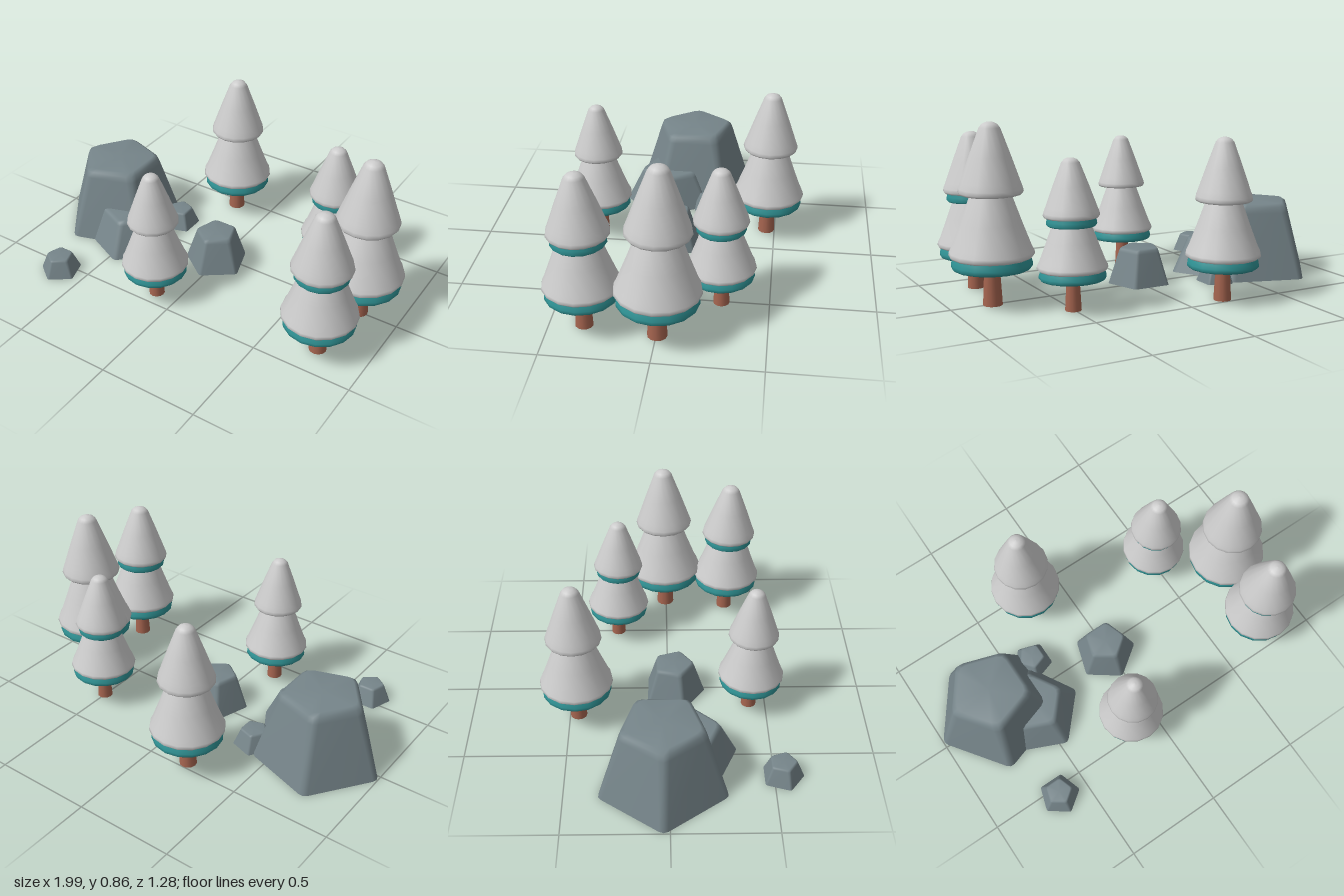
import * as THREE from 'three';

const mat = (color, side = THREE.FrontSide) => new THREE.MeshStandardMaterial({ color, side });
const foliageMat = mat(0xcccccc);
const trimMat = mat(0x2f9294);
const barkMat = mat(0xa5644f);
const rockMat = mat(0x76858a, THREE.DoubleSide);

const lathe = (points, sides = 16) =>
  new THREE.LatheGeometry(points.map(([r, y]) => new THREE.Vector2(r, y)), sides);

// Profiles for a tree 0.865 tall
const trunkGeo = new THREE.CylinderGeometry(0.036, 0.047, 0.2, 12).translate(0, 0.1, 0);
const skirtGeo = lathe([[0, 0.188], [0.165, 0.182], [0.182, 0.181], [0.19, 0.189], [0.19, 0.205], [0.183, 0.225], [0.176, 0.245]]);
const lowerGeo = lathe([[0, 0.24], [0.175, 0.234], [0.192, 0.236], [0.201, 0.246], [0.198, 0.262],
  [0.186, 0.285], [0.142, 0.4], [0.095, 0.53], [0.08, 0.56]]);
const upperGeo = lathe([[0, 0.542], [0.125, 0.533], [0.145, 0.533], [0.152, 0.543], [0.149, 0.56],
  [0.138, 0.59], [0.096, 0.71], [0.049, 0.838], [0.036, 0.854], [0.018, 0.863], [0, 0.865]]);
const bandGeo = lathe([[0, 0.492], [0.12, 0.486], [0.136, 0.486], [0.143, 0.494], [0.14, 0.515], [0.132, 0.548]]);

function part(parent, name, geo, material) {
  const mesh = new THREE.Mesh(geo, material);
  mesh.name = name;
  parent.add(mesh);
  return mesh;
}

// Two-tier conifer; the crown leans slightly along z
function makeTree([x, z, height, lean, banded]) {
  const tree = new THREE.Group();
  tree.name = 'tree';
  part(tree, 'trunk', trunkGeo, barkMat);
  const crown = new THREE.Group();
  crown.name = 'crown';
  crown.rotation.x = lean;
  tree.add(crown);
  part(crown, 'lowerSkirt', skirtGeo, trimMat);
  part(crown, 'lowerFoliage', lowerGeo, foliageMat);
  const upper = part(crown, 'upperFoliage', upperGeo, foliageMat);
  if (banded) {
    part(crown, 'upperSkirt', bandGeo, trimMat);
    upper.scale.set(1.05, 1, 1.05);
  }
  tree.position.set(x, 0, z);
  tree.scale.setScalar(height / 0.865);
  return tree;
}

// Five-sided tapered boulder with softened corners, open underneath
function makeRock([x, z, radius, height, turn]) {
  const corner = (i) => {
    const a = THREE.MathUtils.degToRad(turn + i * 72);
    return new THREE.Vector2(Math.cos(a), Math.sin(a));
  };
  const levels = [[1, 0, 0.07], [0.68, 0.88, 0.13], [0.645, 0.96, 0.14], [0.57, 1, 0.15]];
  const pos = [], index = [];
  for (const [r, y, soft] of levels) {
    for (let i = 0; i < 5; i++) {
      const c = corner(i);
      const before = c.clone().lerp(corner(i - 1), soft);
      const after = c.clone().lerp(corner(i + 1), soft);
      const mid = before.clone().add(after).multiplyScalar(0.25).addScaledVector(c, 0.5);
      for (const p of [before, mid, after]) pos.push(p.x * r * radius, y * height, p.y * r * radius);
    }
  }
  const n = 15, top = levels.length - 1, centre = levels.length * n;
  pos.push(0, height, 0);
  for (let i = 0; i < n; i++) {
    const j = (i + 1) % n;
    for (let k = 0; k < top; k++) {
      const a = k * n + i, b = k * n + j;
      index.push(a, a + n, b, b, a + n, b + n);
    }
    index.push(centre, top * n + j, top * n + i);
  }
  const geo = new THREE.BufferGeometry();
  geo.setAttribute('position', new THREE.Float32BufferAttribute(pos, 3));
  geo.setIndex(index);
  geo.computeVertexNormals();
  const rock = new THREE.Mesh(geo, rockMat);
  rock.name = 'rock';
  rock.position.set(x, 0, z);
  return rock;
}

export function createModel() {
  const model = new THREE.Group();
  model.name = 'treesAndRocks';

  // x, z, height, lean, has upper skirt
  const trees = [
    [-0.198, -0.457, 0.785, -0.006, false],
    [0.503, -0.272, 0.71, 0.02, true],
    [0.795, -0.005, 0.865, -0.015, false],
    [0.754, 0.338, 0.785, 0.02, true],
    [-0.12, 0.416, 0.71, 0.015, false],
  ];
  trees.forEach((t) => model.add(makeTree(t)));

  // x, z, radius, height, turn in degrees
  const rocks = [
    [-0.675, -0.03, 0.328, 0.382, 180],
    [-0.51, 0.095, 0.246, 0.186, 6],
    [-0.015, 0.03, 0.165, 0.186, 90],
    [-0.37, -0.145, 0.105, 0.093, 36],
    [-0.645, 0.54, 0.106, 0.095, 90],
  ];
  rocks.forEach((r) => model.add(makeRock(r)));
  return model;
}
